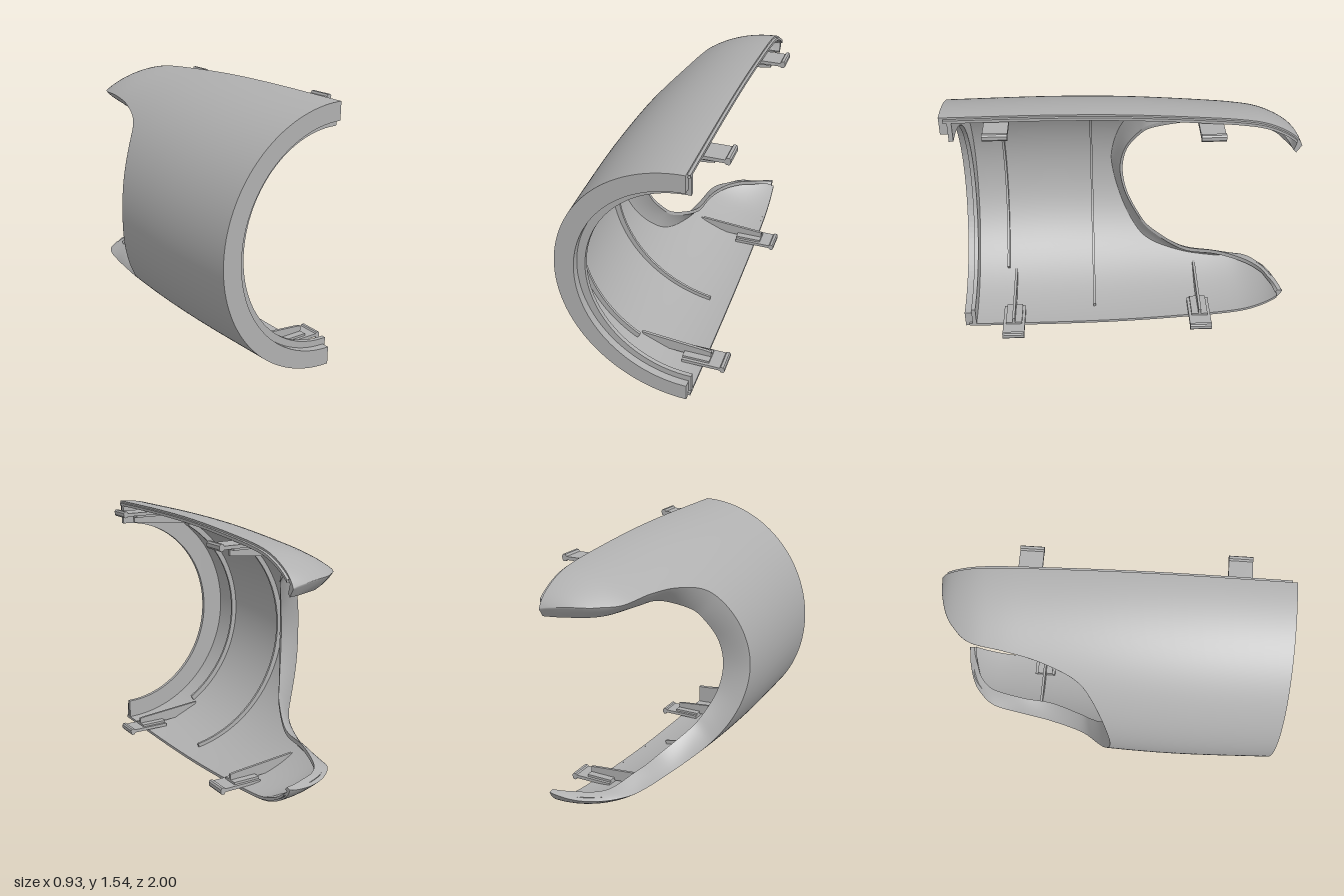
import * as THREE from 'three';

const CX = 0.31, CY = 0.773;      // axis of the half-round shell
const WALL = 0.028;
const { lerp, clamp, smoothstep } = THREE.MathUtils;

// shell radius along z
const profile = new THREE.CatmullRomCurve3([
  [-1, 0.542], [-0.985, 0.572], [-0.95, 0.61], [-0.88, 0.655], [-0.78, 0.695], [-0.65, 0.718],
  [-0.4, 0.74], [0, 0.764], [0.4, 0.772], [1, 0.768],
].map(([z, r]) => new THREE.Vector3(z, r, 0))).getPoints(180);

function radius(z) {
  let i = 1;
  while (i < profile.length - 1 && profile[i].x < z) i++;
  const a = profile[i - 1], b = profile[i];
  return lerp(a.y, b.y, clamp((z - a.x) / (b.x - a.x), 0, 1));
}

// point on the shell, phi measured up from the -x direction
function onShell(phi, z, inset = 0) {
  const r = radius(z) - inset;
  const rx = r + 0.005 - 0.018 * Math.pow(Math.max(0, (z - 0.3) / 0.7), 1.5);
  return new THREE.Vector3(CX - rx * Math.cos(phi), CY + r * Math.sin(phi), z);
}

// half of the cutout: shell angle, shell z, then lip height, lip z, lip depth
const CUT = [
  [0, 0.02, 0, -0.02, 0.61], [18, -0.017, 0.16, -0.046, 0.588], [34, -0.1, 0.3, -0.12, 0.53],
  [43, -0.2, 0.385, -0.2, 0.475], [49.5, -0.4, 0.475, -0.4, 0.385], [52.8, -0.6, 0.495, -0.6, 0.357],
  [55.2, -0.8, 0.495, -0.8, 0.3], [61.6, -0.9, 0.495, -0.89, 0.22], [68.4, -0.95, 0.495, -0.93, 0.13],
  [79, -0.985, 0.495, -0.955, 0.065], [90, -1, 0.495, -0.97, 0],
];
const full = [
  ...CUT.slice(1).reverse().map(([p, z, h, lz, d]) => [-p, z, -h, lz, d]),
  ...CUT,
];
const shellCut = new THREE.CatmullRomCurve3(
  full.map((c) => new THREE.Vector3(c[0] / 90, c[1], 0)), false, 'catmullrom', 0.5);
const lipCut = new THREE.CatmullRomCurve3(
  full.map((c) => new THREE.Vector3(c[4], c[2], c[3])), false, 'catmullrom', 0.5);

// smooth surface through a grid of points
function grid(cols, flip = false) {
  const n = cols[0].length, pos = [], idx = [];
  cols.forEach((c) => c.forEach((p) => pos.push(p.x, p.y, p.z)));
  for (let i = 0; i < cols.length - 1; i++) {
    for (let j = 0; j < n - 1; j++) {
      const a = i * n + j, b = a + n, c = a + 1, d = b + 1;
      if (flip) idx.push(a, c, b, b, c, d);
      else idx.push(a, b, c, b, d, c);
    }
  }
  const g = new THREE.BufferGeometry();
  g.setAttribute('position', new THREE.Float32BufferAttribute(pos, 3));
  g.setIndex(idx);
  g.computeVertexNormals();
  return g;
}

// shell line from the front end to the cutout, then curling into the lip
function chain(phi, zEnd, inset, lip, bulge) {
  const pts = [], N = 36, M = 8;
  for (let j = 0; j <= N; j++) {
    const f = Math.sin((j / N) * Math.PI / 2);
    pts.push(onShell(phi, lerp(1, zEnd, f), inset));
  }
  const p = pts[N];
  const ctrl = p.clone().lerp(lip, 0.5).lerp(new THREE.Vector3(p.x, lip.y, lip.z), bulge);
  const curve = new THREE.QuadraticBezierCurve3(p, ctrl, lip);
  return pts.concat(curve.getPoints(M).slice(1));
}

function shellChains() {
  const outer = [], inner = [], COUNT = 160;
  for (let i = 0; i <= COUNT; i++) {
    const s = shellCut.getPoint(i / COUNT), q = lipCut.getPoint(i / COUNT);
    const a = clamp(s.x, -1, 1), side = Math.sign(a), m = Math.abs(a);
    const zc = Math.max(s.y, -1);
    // the lower lip fades out towards its tip
    if (side < 0) q.y = lerp(q.y, -0.537, smoothstep(-q.z, 0.6, 0.88));
    const lip = new THREE.Vector3(CX - Math.max(q.x, 0), CY + q.y, q.z);
    const w = Math.min(1, m * 90 / 50);
    const tip = smoothstep(m, 0.7, 1);
    const lipIn = lip.clone().add(new THREE.Vector3(0, side * 0.028 * w * (1 - 0.4 * tip), 0.018 * (1 - w) + 0.015 * tip));
    const phi = a * Math.PI / 2;
    const phiIn = side * Math.min(Math.PI / 2, Math.abs(phi) + 0.045 * w * (1 - m ** 4));
    outer.push(chain(phi, zc, 0, lip, 0.25));
    inner.push(chain(phiIn, zc + 0.03 * (1 - w) + 0.03 * tip, WALL, lipIn, 0.25));
  }
  return { outer, inner };
}

// half ring (or shorter arc) standing across the shell
function arcGeometry(outX, outY, inX, inY, half, z0, z1, extend = 0) {
  const s = new THREE.Shape(), N = 56;
  const at = (rx, ry, k) => {
    const p = lerp(-half, half, k / N);
    return new THREE.Vector2(CX - rx * Math.cos(p), CY + ry * Math.sin(p));
  };
  const pts = [];
  for (let k = 0; k <= N; k++) pts.push(at(outX, outY, k));
  if (extend) pts.push(new THREE.Vector2(CX + extend, CY + outY), new THREE.Vector2(CX + extend, CY + inY));
  for (let k = N; k >= 0; k--) pts.push(at(inX, inY, k));
  if (extend) pts.push(new THREE.Vector2(CX + extend, CY - inY), new THREE.Vector2(CX + extend, CY - outY));
  s.setFromPoints(pts);
  const g = new THREE.ExtrudeGeometry(s, { depth: z1 - z0, bevelEnabled: false });
  return g.translate(0, 0, z0);
}

// prism from a side outline, centred on z
function prism(points, width) {
  const s = new THREE.Shape(points.map(([x, y]) => new THREE.Vector2(x, y)));
  return new THREE.ExtrudeGeometry(s, { depth: width, bevelEnabled: false }).translate(0, 0, -width / 2);
}

export function createModel() {
  const model = new THREE.Group();
  model.name = 'halfShellCover';
  const grey = new THREE.MeshStandardMaterial({ color: 0xb0b0b0, side: THREE.DoubleSide });
  grey.name = 'grey plastic';
  const add = (name, geometry, parent = model) => {
    const mesh = new THREE.Mesh(geometry, grey);
    mesh.name = name;
    parent.add(mesh);
    return mesh;
  };

  // shell skins and the faces that close them
  const { outer, inner } = shellChains();
  const last = outer[0].length - 1, end = outer.length - 1;
  add('outerSkin', grid(outer));
  add('innerSkin', grid(inner, true));
  add('lipEdge', grid(outer.map((c, i) => [c[last], inner[i][last]])));
  add('frontEdge', grid(outer.map((c, i) => [c[0], inner[i][0]]), true));
  add('lowerSideEdge', grid([outer[0], inner[0]], true));
  add('upperSideEdge', grid([outer[end], inner[end]]));

  // raised tongue along both straight edges
  for (const side of [-1, 1]) {
    const ring = [];
    for (let k = 0; k <= 40; k++) {
      const z = lerp(0.975, -0.965, Math.sin((k / 40) * Math.PI / 2)), r = radius(z);
      const p = (x, d) => new THREE.Vector3(x, CY + side * (r - d), z);
      ring.push([p(CX, 0.011), p(0.326, 0.011), p(0.326, WALL), p(CX, WALL)]);
    }
    const g = grid(ring, side < 0).toNonIndexed();
    g.computeVertexNormals();
    add(side > 0 ? 'upperTongue' : 'lowerTongue', g);
  }

  // stepped flange at the front end
  const H = Math.PI / 2;
  add('frontFlange', arcGeometry(0.75, 0.757, 0.64, 0.663, H, 0.953, 1));
  add('innerFlange', arcGeometry(0.75, 0.75, 0.592, 0.625, H, 0.93, 0.955, 0.015));

  // stiffening ribs inside
  add('frontRib', arcGeometry(0.757, 0.757, 0.707, 0.707, 1.02, 0.733, 0.748));
  add('middleRib', arcGeometry(0.757, 0.757, 0.712, 0.718, 1.42, 0.172, 0.187));

  // snap clips with their gussets
  for (const [z, drop] of [[0.69, 0], [-0.48, 0.033]]) {
    for (const side of [1, -1]) {
      const clip = new THREE.Group();
      clip.name = (side > 0 ? 'upper' : 'lower') + (z > 0 ? 'FrontClip' : 'RearClip');
      const pt = ([x, y]) => [x, CY + side * (y - drop - CY)];
      add('prong', prism([
        [0.2, 1.488], [0.435, 1.488], [0.442, 1.48], [0.458, 1.48], [0.465, 1.49],
        [0.465, 1.51], [0.458, 1.52], [0.442, 1.52], [0.435, 1.508], [0.2, 1.508],
      ].map(pt), 0.135), clip);
      add('prongRoot', prism([[0.2, 1.474], [0.365, 1.474], [0.365, 1.489], [0.2, 1.489]].map(pt), 0.1), clip);
      add('gusset', prism([
        [0.365, 1.48], [0.365, 1.44], [0.33, 1.435], [-0.07, 1.4], [-0.06, 1.415], [0.1, 1.485], [0.3, 1.5],
      ].map(pt), 0.016), clip);
      clip.position.z = z;
      model.add(clip);
    }
  }
  return model;
}
